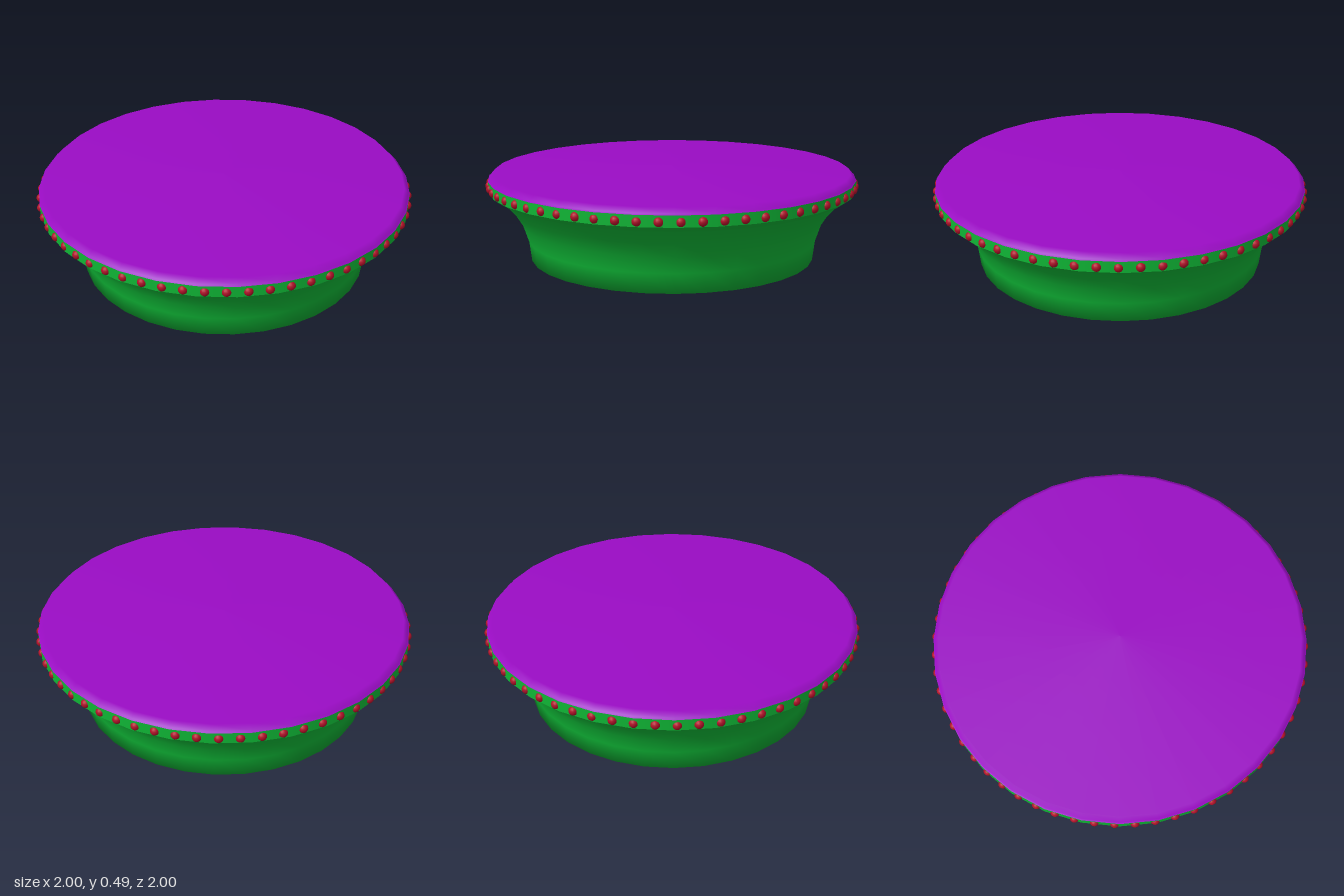
import * as THREE from 'three';

const SIDES = 32;
const BEADS = 60;

function lathe(name, profile, material) {
  const points = profile.map(([r, y]) => new THREE.Vector2(r, y));
  const mesh = new THREE.Mesh(new THREE.LatheGeometry(points, SIDES), material);
  mesh.name = name;
  return mesh;
}

export function createModel() {
  const group = new THREE.Group();
  group.name = 'beadedStand';
  const green = new THREE.MeshStandardMaterial({ color: 0x0fb535 });
  const purple = new THREE.MeshStandardMaterial({ color: 0x9a0cc4 });
  const red = new THREE.MeshStandardMaterial({ color: 0xb01028 });

  // Closed base flaring out to the underside of the rim
  group.add(lathe('flaredBase', [
    [0, 0], [0.767, 0], [0.78, 0.105], [0.81, 0.195],
    [0.86, 0.275], [0.925, 0.347], [0.96, 0.362], [0.988, 0.383],
  ], green));

  // Upright band that carries the beads
  group.add(lathe('rimBand', [[0.988, 0.383], [0.988, 0.441]], green));

  // Bevelled, slightly domed cushion top
  group.add(lathe('topCushion', [
    [0.988, 0.441], [0.98, 0.447], [0.957, 0.474], [0, 0.492],
  ], purple));

  // Ring of small beads half sunk into the band
  const beads = new THREE.Group();
  beads.name = 'beadRing';
  const beadGeometry = new THREE.SphereGeometry(0.024, 14, 10);
  for (let i = 0; i < BEADS; i++) {
    const a = (i / BEADS) * Math.PI * 2;
    const bead = new THREE.Mesh(beadGeometry, red);
    bead.name = 'bead';
    bead.position.set(Math.sin(a) * 0.977, 0.408, Math.cos(a) * 0.977);
    beads.add(bead);
  }
  group.add(beads);
  return group;
}
